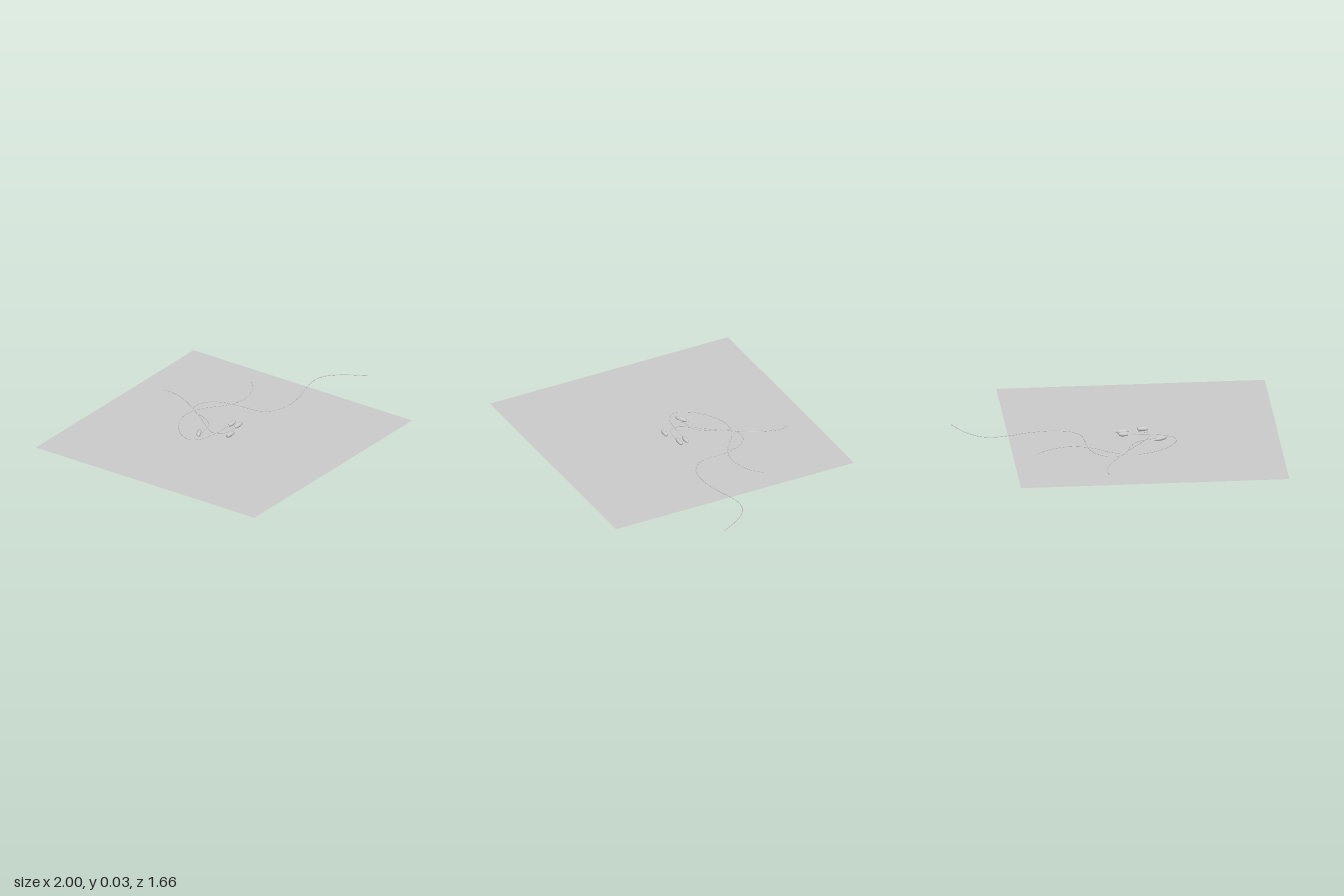
import * as THREE from 'three';

const grey = new THREE.MeshStandardMaterial({ color: 0xcccccc, side: THREE.DoubleSide });

function add(parent, name, geometry) {
  const mesh = new THREE.Mesh(geometry, grey);
  mesh.name = name;
  parent.add(mesh);
  return mesh;
}

// Cord lying on the sheet; its last points lift towards the bead
function cord(parent, name, points, lifted) {
  const path = points.map(([x, z], i) => {
    const t = Math.max(0, (i - (points.length - 1 - lifted)) / lifted);
    return new THREE.Vector3(x, 0.005 + 0.009 * t, z);
  });
  const curve = new THREE.CatmullRomCurve3(path, false, 'centripetal');
  add(parent, name, new THREE.TubeGeometry(curve, 160, 0.0025, 8, false));
}

// Rounded bead along x with a collar at each end; optional pointed tips
function bead(parent, name, x, z, half, tips, turn = 0) {
  const body = half * (tips ? 0.72 : 1);
  const profile = [[0.004, -body], [0.009, -body], [0.0125, -body * 0.65], [0.0135, 0],
    [0.0125, body * 0.65], [0.009, body], [0.004, body]];
  if (tips) {
    profile.unshift([0.0001, -half], [0.003, -half]);
    profile.push([0.003, half], [0.0001, half]);
  } else {
    profile.unshift([0.0001, -body]);
    profile.push([0.0001, body]);
  }
  const geometry = new THREE.LatheGeometry(profile.map(p => new THREE.Vector2(...p)), 20);
  geometry.rotateZ(-Math.PI / 2);
  const mesh = add(parent, name, geometry);
  mesh.position.set(x, 0.0145, z);
  mesh.rotation.y = turn;
}

export function createModel() {
  const model = new THREE.Group();
  model.name = 'cordsAndBeads';

  // Flat sheet
  const sheet = add(model, 'sheet', new THREE.PlaneGeometry(1.665, 1.665).rotateX(-Math.PI / 2));
  sheet.position.set(-0.1675, 0, 0);

  // Three loose cords, each ending at a bead
  cord(model, 'longCord', [[1, 0.25], [0.92, 0.115], [0.84, 0.04], [0.76, 0.02], [0.65, 0.04],
    [0.52, 0.08], [0.38, 0.094], [0.27, 0.065], [0.215, 0], [0.203, -0.08], [0.198, -0.16],
    [0.175, -0.265], [0.13, -0.335], [0.06, -0.366], [0, -0.355], [-0.04, -0.295],
    [-0.075, -0.21], [-0.13, -0.14], [-0.22, -0.113], [-0.31, -0.095]], 5);
  cord(model, 'shortCord', [[0.1, -0.665], [0.108, -0.6], [0.075, -0.49], [0.005, -0.365],
    [-0.085, -0.235], [-0.165, -0.13], [-0.205, -0.06], [-0.185, 0], [-0.13, 0.017],
    [-0.04, 0.017]], 6);
  cord(model, 'loopCord', [[0.51, -0.28], [0.43, -0.215], [0.29, -0.178], [0.165, -0.215],
    [0.06, -0.295], [-0.02, -0.335], [-0.12, -0.343], [-0.26, -0.28], [-0.345, -0.185],
    [-0.365, -0.115], [-0.315, -0.062], [-0.2, -0.034], [-0.04, -0.03]], 4);

  // Beads
  bead(model, 'frontBead', -0.04, 0.017, 0.043, true);
  bead(model, 'rearBead', -0.045, -0.028, 0.038, true);
  bead(model, 'angledBead', -0.268, -0.118, 0.05, true, 0.5);
  bead(model, 'looseBead', -0.172, 0.051, 0.031, false);
  return model;
}
